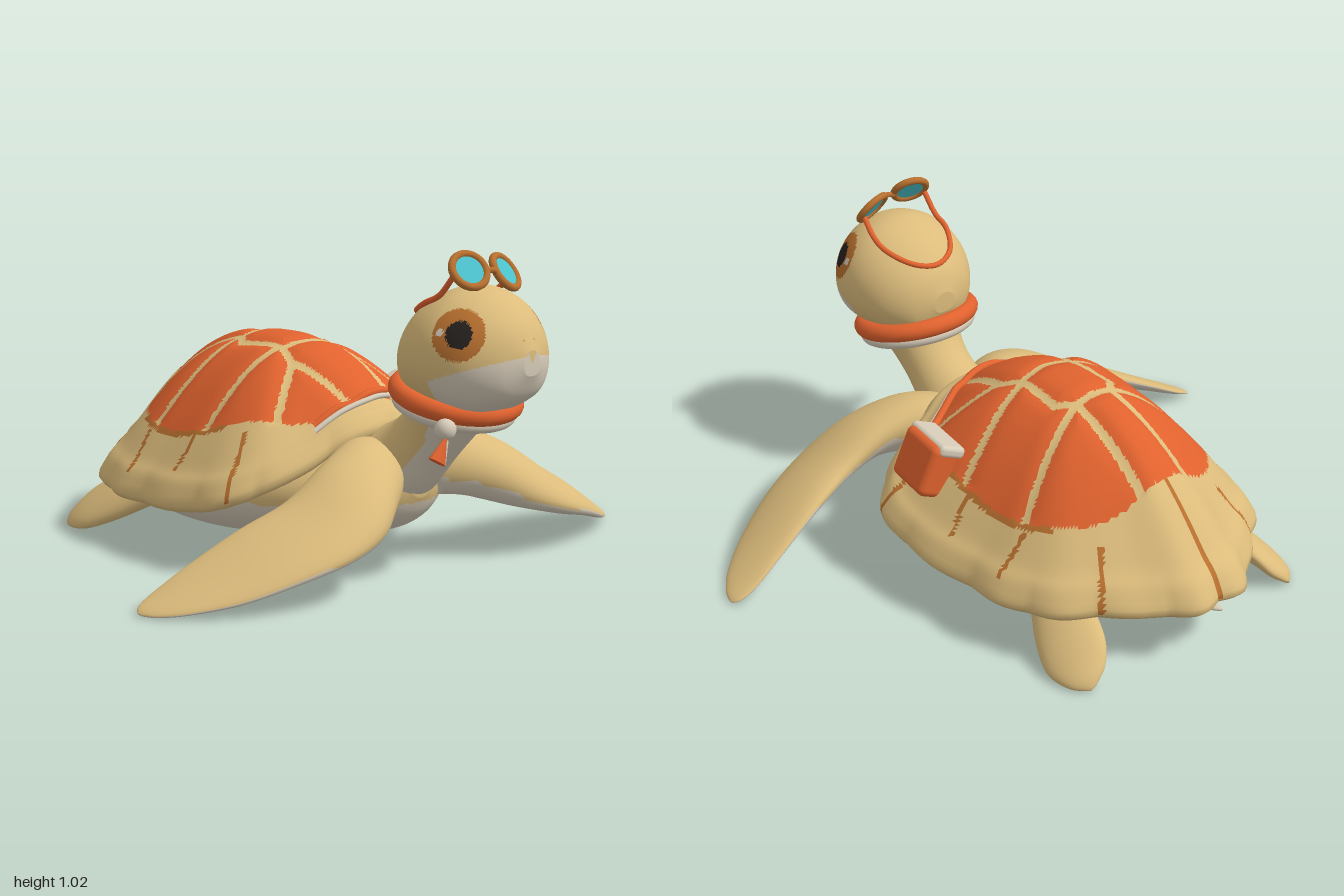
import * as THREE from 'three';
import { RoundedBoxGeometry } from 'three/addons/geometries/RoundedBoxGeometry.js';

const V = (x, y, z) => new THREE.Vector3(x, y, z);
const mat = (name, color) => Object.assign(new THREE.MeshStandardMaterial({ color }), { name });

// Smoothly subdivide a table of cross-section rows
const spline = (a, b, c, d, t) =>
  b + 0.5 * t * (c - a + t * (2 * a - 5 * b + 4 * c - d + t * (3 * (b - c) + d - a)));
function refine(rows, k) {
  const out = [];
  const last = rows.length - 1;
  for (let i = 0; i < last; i++) {
    const [p, q, r, s] = [i - 1, i, i + 1, i + 2].map(j => rows[Math.min(last, Math.max(0, j))]);
    for (let j = 0; j < k; j++) out.push(q.map((_, n) => spline(p[n], q[n], r[n], s[n], j / k)));
  }
  return [...out, rows[last]];
}

// Closed skin over a list of rings, wound so that it faces outwards
function loft(rings) {
  const m = rings[0].length, n = rings.length, pts = rings.flat(), idx = [];
  for (let i = 0; i < n - 1; i++) for (let j = 0; j < m; j++) {
    const a = i * m + j, b = i * m + (j + 1) % m;
    idx.push(a, b, a + m, b, b + m, a + m);
  }
  [0, n - 1].forEach(i => {
    const centre = V(0, 0, 0);
    rings[i].forEach(p => centre.addScaledVector(p, 1 / m));
    const c = pts.push(centre) - 1;
    for (let j = 0; j < m; j++) {
      const a = i * m + j, b = i * m + (j + 1) % m;
      i ? idx.push(a, b, c) : idx.push(b, a, c);
    }
  });
  let volume = 0;
  for (let i = 0; i < idx.length; i += 3)
    volume += pts[idx[i]].dot(V(0, 0, 0).crossVectors(pts[idx[i + 1]], pts[idx[i + 2]]));
  if (volume < 0) idx.reverse();
  const g = new THREE.BufferGeometry().setFromPoints(pts);
  g.setIndex(idx);
  g.computeVertexNormals();
  return g;
}

// Sort faces into material groups by a rule on face centre and normal
function paint(g, count, rule) {
  const p = g.attributes.position, old = g.index.array, bins = Array.from({ length: count }, () => []);
  const tri = new THREE.Triangle(), c = V(0, 0, 0), n = V(0, 0, 0);
  for (let i = 0; i < old.length; i += 3) {
    tri.setFromAttributeAndIndices(p, old[i], old[i + 1], old[i + 2]);
    tri.getMidpoint(c);
    tri.getNormal(n);
    bins[rule(c, n)].push(old[i], old[i + 1], old[i + 2]);
  }
  g.setIndex(bins.flat());
  let start = 0;
  bins.forEach((b, i) => { g.addGroup(start, b.length, i); start += b.length; });
  return g;
}

const around = (m, f) => Array.from({ length: m }, (_, i) => f(i / m * Math.PI * 2));
// Upright oval ring: z, bottom, top, half width
const oval = ([z, lo, hi, w]) =>
  around(64, a => V(Math.cos(a) * w, (lo + hi) / 2 + Math.sin(a) * (hi - lo) / 2, z));
// Head ring: widest below the middle, with a squarer jaw
const skull = ([z, lo, hi, w]) => around(112, a => {
  const mid = lo + (hi - lo) * .44, c = Math.cos(a), s = Math.sin(a);
  return s < 0 ? V(Math.sign(c) * Math.abs(c) ** .7 * w, mid + s * (mid - lo), z) : V(c * w, mid + s * (hi - mid), z);
});

// Flipper skin from rows of leading point, trailing point, half thickness
function blade(rows, side) {
  const r = refine(rows, 6).map(([a, b, c, d, e, f, t]) => ({ l: V(a * side, b, c), t: V(d * side, e, f), h: t }));
  const mid = r.map(o => o.l.clone().add(o.t).multiplyScalar(0.5));
  return loft(r.map((o, i) => {
    const half = o.l.clone().sub(o.t).multiplyScalar(0.5);
    const span = mid[Math.min(i + 1, r.length - 1)].clone().sub(mid[Math.max(i - 1, 0)]);
    const up = V(0, 0, 0).crossVectors(half, span).normalize().multiplyScalar(o.h);
    return around(32, a => mid[i].clone().addScaledVector(half, Math.cos(a)).addScaledVector(up, Math.sin(a)));
  }));
}

// Shell outline, half of it, from front to back: x, rim height, z
const half = [[0, .45, .33], [.16, .43, .31], [.3, .36, .27], [.46, .29, .2], [.53, .24, .08], [.535, .21, -.1],
  [.51, .2, -.3], [.49, .2, -.45], [.43, .21, -.6], [.33, .22, -.7], [.22, .22, -.79], [.1, .225, -.89], [0, .23, -.895]];
const rim = new THREE.CatmullRomCurve3(
  [...half, ...half.slice(1, -1).reverse().map(([x, y, z]) => [-x, y, z])].map(p => V(...p)), true);

// Seams between the scutes and the lower growth lines, as x, z, x, z on one half
const seams = [[.09, -.64, .07, -.3], [0, -.3, .07, -.3], [.07, -.3, .115, -.25], [.115, -.25, .1, -.07], [0, -.06, .1, -.07],
  [.1, -.07, .13, 0], [.13, 0, .09, .25], [.07, -.3, .24, -.35], [.24, -.35, .41, -.41], [.1, -.08, .41, -.13], [.13, .01, .33, .14]];
const streaks = [[0, -.62, 0, -.91], [.25, -.62, .34, -.73], [.38, -.41, .47, -.4], [.4, -.16, .47, -.17], [.38, .06, .52, .13]];
const nearest = (list, x, z) => Math.min(...list.map(([a, b, c, d]) => {
  const t = ((x - a) * (c - a) + (z - b) * (d - b)) / ((c - a) ** 2 + (d - b) ** 2);
  const k = Math.min(1, Math.max(0, t));
  return Math.hypot(x - a - k * (c - a), z - b - k * (d - b));
}));
const scuteEdge = (x, z) => (Math.abs(x) / .385) ** 2.5 + (Math.abs(z + .19) / .44) ** 2.5;

// Point on the shell: t runs round the rim, v from the crown to the rim
function shellPoint(t, v, drop = null) {
  t = ((t % 1) + 1) % 1;
  const r = rim.getPoint(t);
  const k = v * (1 + .025 * v ** 14 * (Math.abs(Math.sin(t * Math.PI * 16)) - .6));
  const x = r.x * k, z = -.2 + (r.z + .2) * k;
  if (drop !== null) return V(x, r.y + drop, z);
  const groove = scuteEdge(x, z) < 1 ? .01 * Math.exp(-((nearest(seams, Math.abs(x), z) / .03) ** 2)) : 0;
  const flare = .018 * Math.exp(-(((v - .95) / .05) ** 2));
  const steep = 1.27 - .24 * Math.abs(r.x) / .535;
  return V(x, r.y + (.692 - r.y) * Math.cos(Math.PI / 2 * v ** steep) + flare - groove, z);
}

export function createModel() {
  const root = new THREE.Group();
  const tan = mat('tan skin', 0xdcbc7c), cream = mat('cream', 0xd6cbb8), orange = mat('orange', 0xe0622e),
    brown = mat('brown', 0xb8702f), black = mat('black', 0x25211f), teal = mat('teal glass', 0x4cc3cd);
  const add = (name, geo, material, parent = root) => {
    const m = new THREE.Mesh(geo, material);
    m.name = name;
    parent.add(m);
    return m;
  };
  const group = (name, parent = root) => {
    const g = new THREE.Group();
    g.name = name;
    parent.add(g);
    return g;
  };
  const tube = (name, pts, r, material, parent) =>
    add(name, new THREE.TubeGeometry(new THREE.CatmullRomCurve3(pts), 48, r, 10), material, parent);
  const ball = (name, material, x, y, z, sx, sy, sz) => {
    const m = add(name, new THREE.SphereGeometry(1, 24, 16), material);
    m.position.set(x, y, z);
    m.scale.set(sx, sy, sz);
  };

  // Shell with scutes, seams and streaks
  const ring = (v, drop) => Array.from({ length: 240 }, (_, i) => shellPoint(i / 240, v, drop));
  const rings = Array.from({ length: 66 }, (_, i) => ring(.015 + .985 * i / 65));
  rings.push(ring(1.005, -.012), ring(.985, -.028), ring(.9, -.02), ring(.5, .05));
  add('shell', paint(loft(rings), 3, (c, n) => {
    const x = Math.abs(c.x), e = scuteEdge(c.x, c.z);
    if (n.y < 0) return 0;
    if (e < 1) return nearest(seams, x, c.z) < .013 ? 0 : 1;
    if (e < 1.08 && x > .33 && c.z < -.03) return 2;
    return nearest(streaks, x, c.z) < .008 ? 2 : 0;
  }), [tan, orange, brown]);

  // Body, tail and neck
  const body = [[.46, .24, .3, .04], [.42, .17, .4, .13], [.33, .115, .42, .24], [.2, .09, .42, .36], [0, .06, .4, .44],
    [-.2, .05, .38, .46], [-.4, .07, .36, .43], [-.6, .13, .33, .34], [-.7, .18, .3, .22], [-.76, .21, .25, .06]];
  add('body', paint(loft(refine(body, 6).map(oval)), 2, c => c.y < .22 ? 1 : 0), [tan, cream]);
  add('tail', loft(refine([[-.58, .12, .25, .14], [-.7, .125, .2, .09], [-.8, .15, .19, .05], [-.895, .178, .188, .006]], 4).map(oval)), cream);
  const neck = [[.62, .6, .15, .14, -.2], [.57, .59, .155, .14, -.25], [.51, .555, .125, .115, -.4],
    [.43, .48, .11, .11, -.6], [.35, .38, .13, .13, -.8], [.28, .25, .2, .14, -.9]];
  add('neck', paint(loft(refine(neck, 6).map(([y, z, rx, rz, tilt]) => around(48, a =>
    V(Math.cos(a) * rx, y + Math.sin(a) * rz * Math.sin(tilt), z + Math.sin(a) * rz * Math.cos(tilt))))),
  2, (c, n) => n.z - n.y > .7 ? 1 : 0), [tan, cream]);

  // Head with a pale jaw and painted eyes
  const head = [[.44, .66, .73, .04], [.47, .6, .8, .12], [.53, .57, .865, .18], [.6, .56, .905, .212], [.68, .55, .925, .222],
    [.76, .55, .91, .205], [.82, .575, .872, .168], [.87, .61, .82, .11], [.905, .675, .75, .035]];
  add('head', paint(loft(refine(head, 14).map(skull)), 4, c => {
    const away = (x, y, z, ry = 1) => Math.hypot(Math.abs(c.x) - x, (c.y - y) / ry, c.z - z);
    if (away(.155, .845, .815) < .02 || away(.2, .805, .715) < .013) return 1;
    if (away(.182, .805, .775, 1.1) < .042) return 3;
    if (away(.182, .808, .772, 1.05) < .083) return 2;
    return c.z > .68 && c.y < .735 - (.91 - c.z) * .35 ? 1 : 0;
  }), [tan, cream, brown, black]);

  // Flippers and nostrils on both sides
  const front = [[.1, .24, .44, .1, .4, .25, .09], [.2, .24, .54, .2, .4, .3, .095], [.33, .2, .63, .33, .36, .345, .08],
    [.48, .155, .65, .48, .275, .355, .058], [.64, .11, .61, .64, .21, .32, .04], [.8, .06, .53, .8, .13, .285, .026],
    [.92, .032, .435, .92, .065, .265, .016], [.98, .02, .36, .98, .035, .27, .009], [1, .018, .31, 1, .022, .29, .003]];
  const rear = [[.36, .14, -.42, .24, .24, -.48, .05], [.44, .07, -.54, .28, .2, -.6, .045], [.482, .03, -.64, .32, .14, -.72, .036],
    [.472, .02, -.73, .36, .08, -.77, .024], [.43, .02, -.78, .41, .035, -.785, .006]];
  for (const s of [1, -1]) {
    const side = s > 0 ? 'left' : 'right';
    const under = (c, n) => n.y < (Math.abs(c.x) > .55 ? .05 : -.25) ? 1 : 0;
    add(side + 'FrontFlipper', paint(blade(front, s), 2, under), [tan, cream]);
    add(side + 'RearFlipper', blade(rear, s), tan);
    ball(side + 'Nostril', brown, .022 * s, .775, .885, .005, .01, .006);
  }

  // Neck scarf with a knot
  const scarf = group('scarf');
  scarf.position.set(0, .58, .6);
  scarf.rotation.x = .24;
  [['scarfRoll', .173, .031, 0, orange], ['scarfLining', .165, .023, -.034, cream]].forEach(([name, R, r, y, m]) => {
    const band = add(name, new THREE.TorusGeometry(R, r, 16, 64).rotateX(Math.PI / 2), m, scarf);
    band.position.y = y;
    band.scale.x = 1.06;
  });
  ball('scarfKnot', cream, -.168, .51, .715, .034, .034, .032);
  [['scarfEnd', -.197, .46, .73, .034, .09, orange], ['scarfEndLining', -.182, .462, .724, .03, .1, cream]]
    .forEach(([name, x, y, z, r, h, m]) => {
      const end = add(name, new THREE.ConeGeometry(r, h, 20), m);
      end.position.set(x, y, z);
      end.rotation.z = -.5;
      end.scale.z = .55;
    });

  // Goggles pushed up on the head
  const goggles = group('goggles');
  for (const [x, y, turn] of [[-.083, .977, -.3], [.075, .96, .3]]) {
    const lens = group('goggleLens', goggles);
    lens.position.set(x, y, .725);
    lens.rotation.set(-.62, turn, 0, 'YXZ');
    add('frame', new THREE.TorusGeometry(.056, .012, 12, 40), brown, lens);
    add('glass', new THREE.CylinderGeometry(.054, .054, .009, 40).rotateX(Math.PI / 2), teal, lens);
  }
  tube('goggleBridge', [V(-.028, .97, .738), V(-.004, .974, .745), V(.02, .963, .738)], .009, brown, goggles);
  tube('goggleStrap', [V(-.13, .96, .705), V(-.13, .9, .65), V(-.128, .872, .59), V(-.075, .835, .505), V(0, .82, .478),
    V(.075, .835, .505), V(.128, .872, .59), V(.13, .9, .65), V(.122, .945, .705)], .009, orange, goggles);

  // Satchel and its strap over the front of the shell
  const satchel = group('satchel');
  satchel.position.set(.405, .435, .035);
  satchel.rotation.set(0, -.14, .42);
  add('bag', new RoundedBoxGeometry(.105, .175, .19, 4, .025), orange, satchel);
  add('flap', new RoundedBoxGeometry(.095, .04, .2, 4, .016), cream, satchel).position.set(-.012, .078, 0);
  const path = (v0, v1) => Array.from({ length: 14 }, (_, i) =>
    shellPoint((-1.8 + 4.9 * i / 13) / 24, v0 + (v1 - v0) * i / 13).add(V(0, .008, 0)));
  tube('satchelStrap', path(.87, .74), .013, orange);
  tube('satchelStrapEdge', path(.9, .77), .009, cream);
  return root;
}
